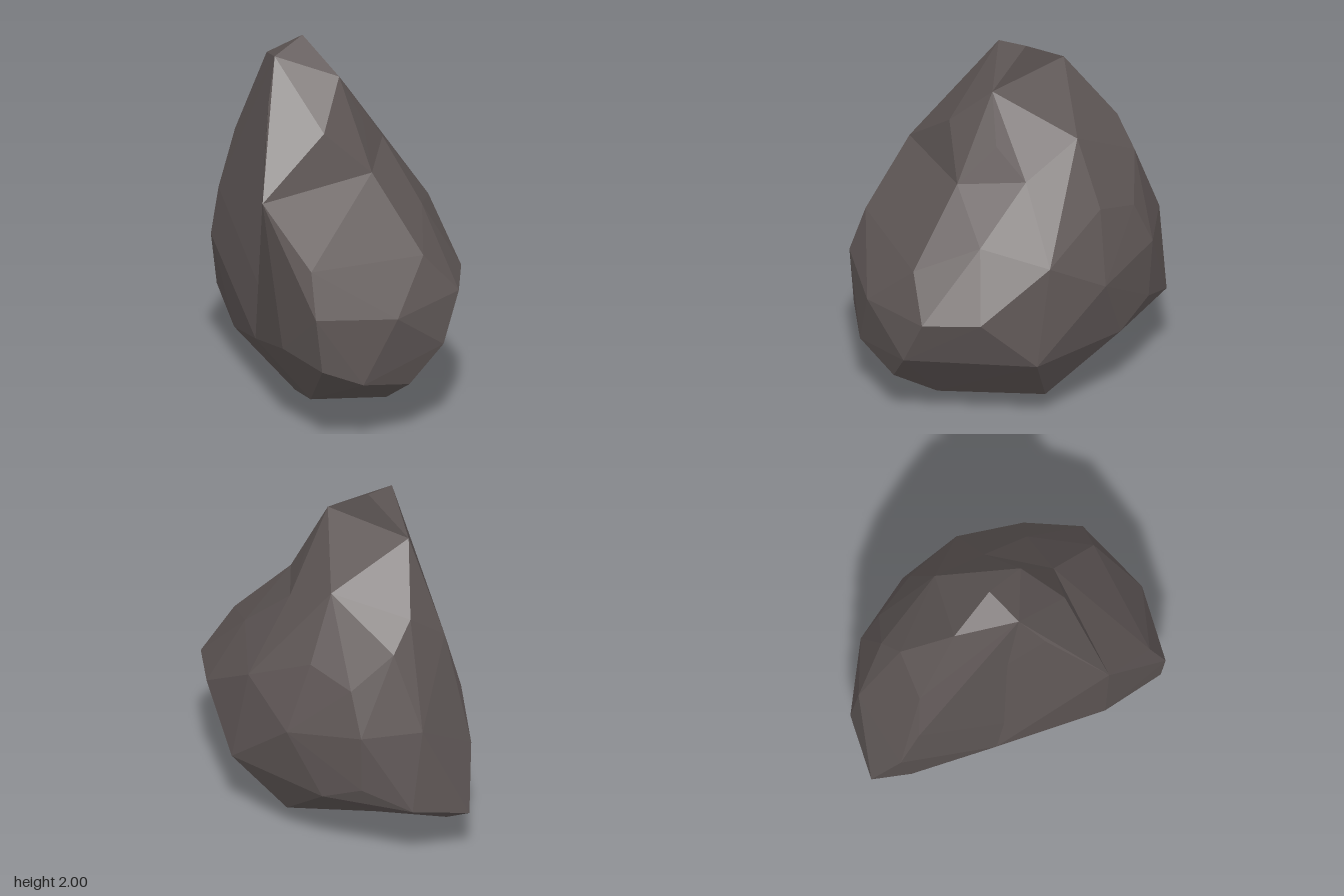
import * as THREE from 'three';
import { ConvexGeometry } from 'three/addons/geometries/ConvexGeometry.js';

// Corner points by region. Neighbouring lobes share regions so their facets meet.
const peak = [[-0.11, 2, -0.01]];
const crown = [[-0.13, 1.94, 0.2], [0.14, 1.83, 0]];
const crownSide = [[-0.37, 1.83, -0.04]];
const neck = [[-0.07, 1.73, 0.33], [0.22, 1.6, 0.23], [0.22, 1.57, -0.1]];
const shoulder = [[0.11, 1.3, 0.61], [0.38, 1.36, 0.03], [0.2, 1.42, -0.29]];
// valley running down the front
const hollow = [[-0.14, 1.6, 0.18], [-0.26, 1.29, 0.12], [-0.19, 0.58, 0.22], [-0.28, 0.31, 0.17]];
const back = [[-0.1, 1.59, -0.38], [-0.08, 1.24, -0.56], [-0.33, 1.16, -0.57],
  [0, 0.85, -0.67], [-0.18, 0.47, -0.61]];
// the -x flank
const flank = [[-0.35, 1.69, 0.05], [-0.52, 1.51, -0.28], [-0.61, 1.33, -0.08], [-0.5, 1.36, -0.42],
  [-0.68, 0.94, -0.43], [-0.68, 1, -0.03], [-0.42, 0.92, -0.62], [-0.77, 0.7, -0.08],
  [-0.41, 0.58, -0.6], [-0.66, 0.47, -0.5], [-0.84, 0.36, -0.22], [-0.64, 0.2, -0.11]];
// the +x bulge, upper and lower
const bulge = [[0.44, 1, 0.62], [0.72, 0.98, 0.03], [0.5, 1.13, -0.24], [0.3, 1.04, -0.55],
  [0.51, 0.76, 0.67], [0.77, 0.72, 0.31], [0.83, 0.76, -0.13], [0.65, 0.78, -0.38]];
const bulgeBase = [[0.52, 0.46, 0.63], [0.18, 0.48, 0.53], [0.83, 0.5, 0], [0.4, 0.49, -0.55],
  [0.66, 0.37, 0.46], [0.73, 0.3, 0.16], [0.24, 0.16, 0.37], [0.5, 0.14, 0.06], [0.16, 0.15, -0.39]];
const foot = [[-0.15, 0, 0]];

// Convex lobes that merge into one rock with a hollow between them
const lobes = {
  tip: [peak, crown, crownSide],
  flankLobe: [crown, crownSide, hollow, back, flank, foot],
  ridgeLobe: [crown, neck, shoulder, hollow, back],
  bulgeLobe: [shoulder, hollow, back, bulge, bulgeBase, foot],
};

export function createModel() {
  const stone = new THREE.MeshStandardMaterial({ color: 0x5f5756 });
  stone.name = 'dark stone';

  const model = new THREE.Group();
  model.name = 'boulder';
  for (const [name, regions] of Object.entries(lobes)) {
    const corners = regions.flat().map((p) => new THREE.Vector3(...p));
    const lobe = new THREE.Mesh(new ConvexGeometry(corners), stone);
    lobe.name = name;
    model.add(lobe);
  }
  return model;
}
